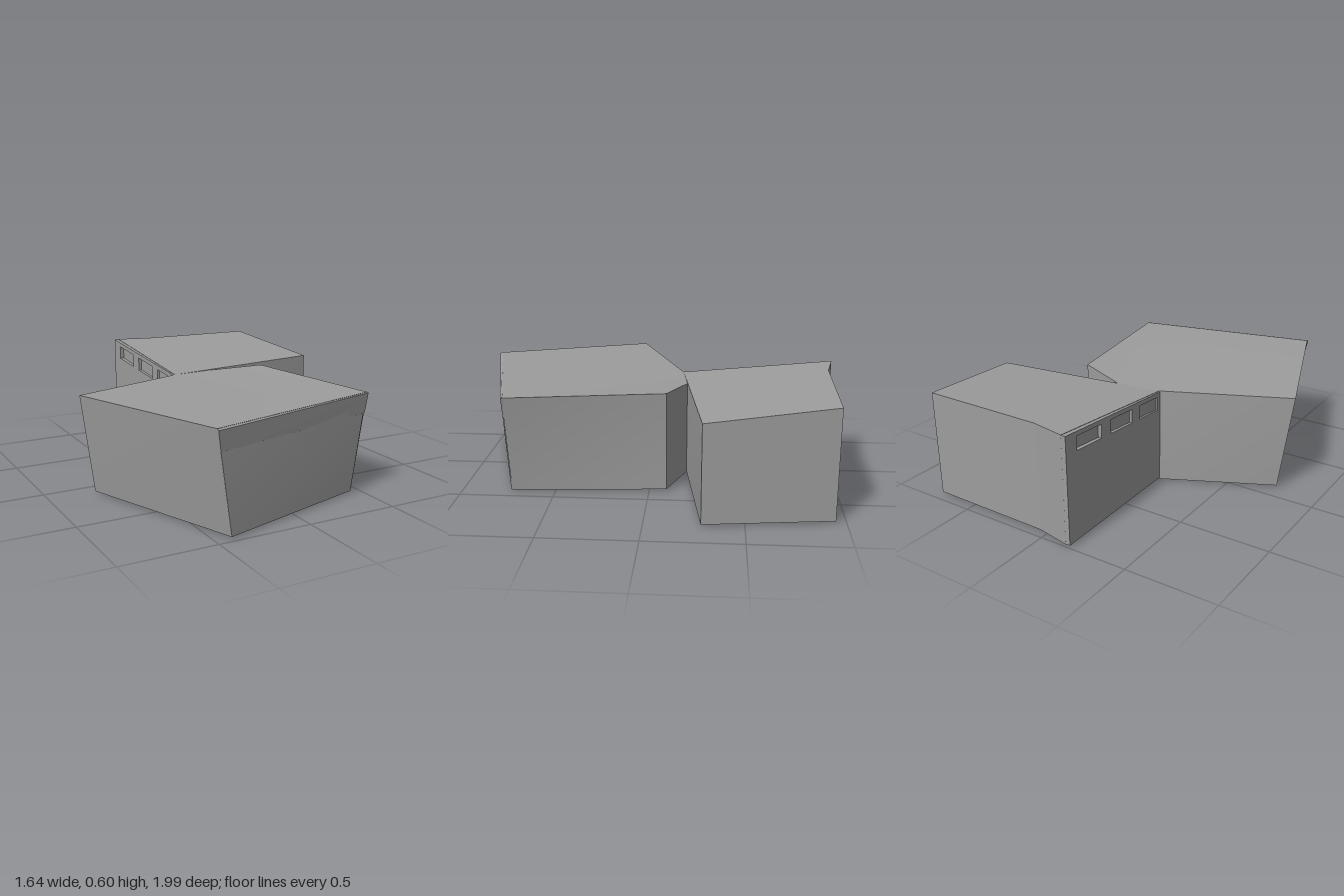
import * as THREE from 'three';
import { toCreasedNormals } from 'three/addons/utils/BufferGeometryUtils.js';

const material = new THREE.MeshStandardMaterial({ color: 0x9d9d9d });

// Closed solid between two matching outlines of [x, y, z], counter-clockwise from above.
// Corners stay sharp while slightly twisted walls and the roof shade evenly.
function solid(name, top, bottom) {
  const pos = [];
  const tri = (a, b, c) => pos.push(...a, ...b, ...c);
  const flat = (ring) => ring.map(([x, , z]) => new THREE.Vector2(x, -z));
  THREE.ShapeUtils.triangulateShape(flat(top), []).forEach(([a, b, c]) => tri(top[a], top[b], top[c]));
  THREE.ShapeUtils.triangulateShape(flat(bottom), []).forEach(([a, b, c]) => tri(bottom[c], bottom[b], bottom[a]));
  top.forEach((t, i) => {
    const j = (i + 1) % top.length;
    tri(bottom[i], bottom[j], top[j]);
    tri(bottom[i], top[j], t);
  });
  const geometry = new THREE.BufferGeometry();
  geometry.setAttribute('position', new THREE.Float32BufferAttribute(pos, 3));
  const mesh = new THREE.Mesh(toCreasedNormals(geometry, 0.16), material);
  mesh.name = name;
  return mesh;
}

// Side wall under the sloping roof, with three openings that follow the slope
function windowWall() {
  const back = -0.995, front = -0.165;
  const roofY = (z) => 0.598 - 0.09 * (z - back);
  const wall = new THREE.Shape([
    [back, 0.012], [front, 0.006], [front, roofY(front)], [back, roofY(back)],
  ].map(([z, y]) => new THREE.Vector2(z, y)));
  for (const [a, b] of [[-0.91, -0.71], [-0.63, -0.44], [-0.37, -0.19]]) {
    wall.holes.push(new THREE.Path([
      [a, roofY(a) - 0.1], [a, roofY(a) - 0.025], [b, roofY(b) - 0.025], [b, roofY(b) - 0.1],
    ].map(([z, y]) => new THREE.Vector2(z, y))));
  }
  const geometry = new THREE.ExtrudeGeometry(wall, { depth: 0.025, bevelEnabled: false });
  const mesh = new THREE.Mesh(geometry, material);
  mesh.name = 'windowWall';
  mesh.rotation.y = -Math.PI / 2 + 0.018;
  mesh.position.x = -0.132;
  return mesh;
}

export function createModel() {
  const model = new THREE.Group();
  model.name = 'pavilion';

  // Front block: walls lean outward towards the roof on the front and outer side
  model.add(solid('frontBlock',
    [[-0.82, 0.54, 0.11], [-0.5, 0.54, 0.982], [0.51, 0.54, 0.745], [0.378, 0.543, -0.092], [0.09, 0.522, -0.19], [-0.15, 0.525, -0.16]],
    [[-0.75, 0.01, 0.1], [-0.42, 0.01, 0.972], [0.44, 0.01, 0.73], [0.375, 0.01, -0.092], [0.09, 0.005, -0.19], [-0.165, 0, -0.168]]));

  // Bevelled band along the top of the front wall, tapering into the panel below
  const seam = [[-0.483, 0.43, 0.974], [-0.483, 0.43, 0.984], [0.497, 0.43, 0.746], [0.493, 0.43, 0.738]];
  model.add(solid('frontBand',
    [[-0.5, 0.541, 0.978], [-0.501, 0.534, 0.995], [0.514, 0.536, 0.75], [0.51, 0.541, 0.74]], seam));

  // Thin front panel, stopping just short of the inner corner
  model.add(solid('frontPanel',
    [seam[0], seam[1], [0.486, 0.43, 0.749], [0.484, 0.43, 0.741]],
    [[-0.42, 0.011, 0.966], [-0.42, 0.011, 0.976], [0.435, 0.011, 0.736], [0.433, 0.011, 0.728]]));

  // Rear block: roof rises towards the back, rear wall has a slight kink
  const rear = [[-0.15, 0.525, -0.16], [0.09, 0.52, -0.19], [0.818, 0.525, -0.285],
    [0.73, 0.59, -0.947], [0.04, 0.597, -0.957], [-0.15, 0.6, -0.995]];
  model.add(solid('rearBlock', rear, rear.map(([x, , z], i) => [x, i === 0 ? 0 : 0.01, z])));

  model.add(windowWall());
  return model;
}
